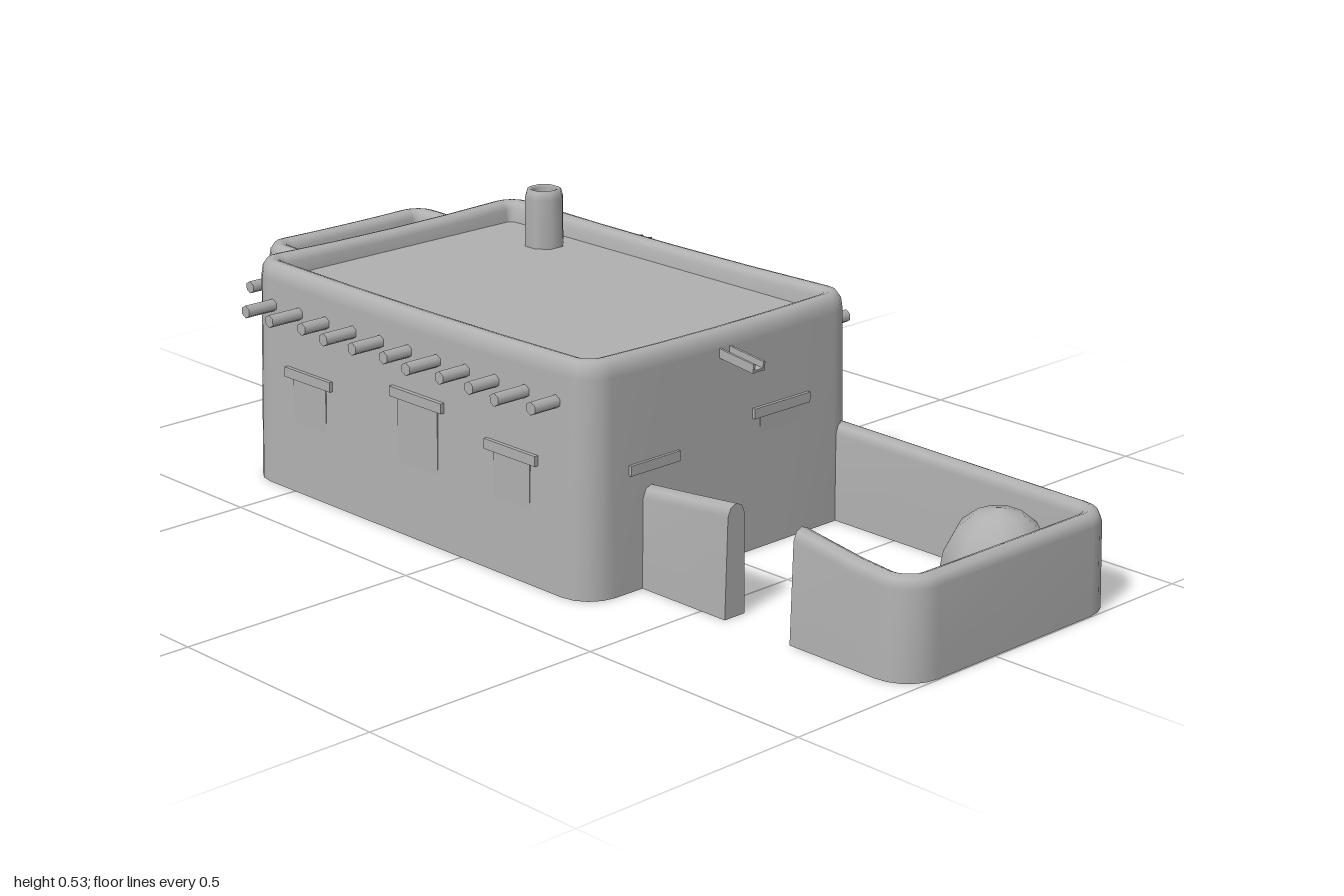
import * as THREE from 'three';

const clay = new THREE.MeshStandardMaterial({ color: 0xb0b0b0, side: THREE.DoubleSide });
clay.name = 'clay grey';

function add(parent, name, geometry, x = 0, y = 0, z = 0) {
  const m = new THREE.Mesh(geometry, clay);
  m.name = name;
  m.position.set(x, y, z);
  parent.add(m);
  return m;
}

// Smooth skin over rows of points; rows run upwards, points run around or along
function loft(rows, closed, capEnds) {
  const n = rows[0].length, pos = rows.flat(2), idx = [];
  for (let i = 0; i < rows.length - 1; i++) {
    for (let j = 0; j < (closed ? n : n - 1); j++) {
      const a = i * n + j, b = i * n + (j + 1) % n, c = a + n, d = b + n;
      idx.push(a, c, b, b, c, d);
    }
  }
  if (capEnds) {
    for (const j of [0, n - 1]) {
      const s = pos.length / 3;
      rows.forEach(r => pos.push(...r[j]));
      for (let k = 1; k < rows.length - 1; k++) {
        if (j === 0) idx.push(s, s + k + 1, s + k);
        else idx.push(s, s + k, s + k + 1);
      }
    }
  }
  const g = new THREE.BufferGeometry();
  g.setAttribute('position', new THREE.Float32BufferAttribute(pos, 3));
  g.setIndex(idx);
  g.computeVertexNormals();
  return g;
}

// Rounded rectangle in plan as [x, z], with extra points along the straight sides
function plan(x0, x1, z0, z1, r, inset) {
  const rad = Math.max(r - inset, 0.012), k = inset + rad;
  const corners = [[x1 - k, z1 - k], [x0 + k, z1 - k], [x0 + k, z0 + k], [x1 - k, z0 + k]];
  const out = [];
  corners.forEach(([cx, cz], q) => {
    for (let s = 0; s <= 4; s++) {
      const a = (q + s / 4) * Math.PI / 2;
      out.push([cx + rad * Math.cos(a), cz + rad * Math.sin(a)]);
    }
    const [px, pz] = out[out.length - 1], [nx, nz] = corners[(q + 1) % 4];
    const a = (q + 1) * Math.PI / 2;
    const ex = nx + rad * Math.cos(a), ez = nz + rad * Math.sin(a);
    for (let s = 1; s < 4; s++) out.push([px + (ex - px) * s / 4, pz + (ez - pz) * s / 4]);
  });
  return out;
}

// Battered block with a soft, slightly sagging parapet and a sunken roof
function block(parent, name, x0, x1, z0, z1, h, dip) {
  const g = new THREE.Group();
  g.name = name;
  const profile = [[0, 0], [0.01, h - 0.035], [0.013, h - 0.016], [0.022, h - 0.003], [0.033, h],
    [0.046, h - 0.004], [0.055, h - 0.016], [0.058, h - 0.05]];
  const cx = (x0 + x1) / 2, cz = (z0 + z1) / 2;
  const rows = profile.map(([inset, y]) => plan(x0, x1, z0, z1, 0.07, inset).map(([x, z]) => {
    const u = (x - cx) / (x1 - x0) * 2, v = (z - cz) / (z1 - z0) * 2;
    const sag = y > h / 2 ? dip * (1 - u * u * v * v) : 0;
    return [x, y - sag, z];
  }));
  add(g, 'walls', loft(rows, true));
  const roof = new THREE.PlaneGeometry(x1 - x0 - 0.112, z1 - z0 - 0.112).rotateX(-Math.PI / 2);
  add(g, 'roof', roof, cx, h - 0.045, cz);
  parent.add(g);
}

// Low yard wall with a rounded top, along points [x, z, height]
function yardWall(parent, path) {
  const section = [[0.026, 0, 0], [0.021, 1, -0.022], [0.014, 1, -0.006], [0, 1, 0],
    [-0.014, 1, -0.006], [-0.021, 1, -0.022], [-0.024, 0, 0]];
  const rows = section.map(([off, f, dy]) => path.map(([x, z, h], j) => {
    const p = path[Math.max(j - 1, 0)], q = path[Math.min(j + 1, path.length - 1)];
    const dx = q[0] - p[0], dz = q[1] - p[1], l = Math.hypot(dx, dz);
    return [x + dz / l * off, f * h + dy, z - dx / l * off];
  }));
  add(parent, 'yardWall', loft(rows, false, true));
}

// Opening with its lintel; plate is centred on the wall line, turned to face the given angle
function opening(parent, name, x, z, turn, top, width, height, lintelWidth) {
  const g = new THREE.Group();
  g.name = name;
  add(g, 'panel', new THREE.BoxGeometry(width, height, 0.009), 0, top - height / 2, -0.003);
  add(g, 'lintel', new THREE.BoxGeometry(lintelWidth, 0.02, 0.03), 0, top + 0.01, -0.008);
  g.position.set(x, 0, z);
  g.rotation.y = turn;
  parent.add(g);
}

// U-shaped roof spout that tips downwards as it leaves the wall
function spout(parent, x, y, z, turn) {
  const g = new THREE.Group();
  g.name = 'roofSpout';
  const tilt = new THREE.Group();
  tilt.rotation.x = 0.12;
  add(tilt, 'spoutFloor', new THREE.BoxGeometry(0.03, 0.005, 0.11), 0, -0.006, 0.025);
  for (const s of [-1, 1]) add(tilt, 'spoutSide', new THREE.BoxGeometry(0.005, 0.018, 0.11), s * 0.013, 0, 0.025);
  g.add(tilt);
  g.position.set(x, y, z);
  g.rotation.y = turn;
  parent.add(g);
}

export function createModel() {
  const model = new THREE.Group();
  model.name = 'adobeHouse';

  block(model, 'mainHouse', -0.65, 0.348, -0.357, 0.364, 0.456, 0.008);
  block(model, 'sideRoom', -0.957, -0.61, -0.36, 0.108, 0.375, 0.004);

  // Projecting roof beams
  const beam = (x, y, z, length) =>
    add(model, 'roofBeam', new THREE.CylinderGeometry(0.013, 0.013, length, 6).rotateX(Math.PI / 2), x, y, z);
  for (let i = 0; i < 11; i++) {
    const x = -0.565 + i * 0.082;
    beam(x, 0.369, 0.36, 0.125 + 0.016 * Math.sin(i * 2.3));
    beam(x, 0.369, -0.355, 0.135 + 0.022 * Math.sin(i * 2.9 + 1));
  }
  for (let i = 0; i < 4; i++) beam(-0.875 + i * 0.073, 0.302, 0.115, 0.12 - 0.008 * (i % 2));

  // Roof spouts
  spout(model, 0.345, 0.405, 0.006, Math.PI / 2);
  spout(model, -0.325, 0.408, -0.355, Math.PI);
  spout(model, -0.945, 0.335, -0.245, -Math.PI / 2);

  // Doors and windows
  const R = Math.PI / 2;
  opening(model, 'frontDoor', -0.125, 0.359, 0, 0.272, 0.115, 0.272, 0.15);
  opening(model, 'sideDoor', 0.341, -0.14, R, 0.26, 0.11, 0.26, 0.15);
  opening(model, 'frontWindow', -0.45, 0.359, 0, 0.235, 0.1, 0.09, 0.14);
  opening(model, 'frontWindow', 0.14, 0.359, 0, 0.235, 0.1, 0.09, 0.14);
  opening(model, 'sideWindow', 0.341, 0.193, R, 0.225, 0.08, 0.09, 0.125);
  opening(model, 'backWindow', -0.02, -0.352, Math.PI, 0.225, 0.1, 0.09, 0.14);
  opening(model, 'backWindow', -0.5, -0.352, Math.PI, 0.225, 0.08, 0.09, 0.12);
  opening(model, 'roomFrontWindow', -0.77, 0.102, 0, 0.212, 0.09, 0.08, 0.125);
  opening(model, 'roomSideWindow', -0.951, -0.13, -R, 0.22, 0.08, 0.08, 0.125);

  // Hollow chimney
  const flue = [[0.042, 0.39], [0.041, 0.512], [0.037, 0.526], [0.031, 0.53], [0.025, 0.525], [0.023, 0.41], [0, 0.41]];
  add(model, 'chimney', new THREE.LatheGeometry(flue.map(p => new THREE.Vector2(...p)), 8, Math.PI / 8), -0.415, 0, -0.23);

  // Yard wall with a gap for the gate
  const path = [[0.33, -0.317, 0.196], [0.6, -0.317, 0.193]];
  const bend = (cx, cz, start, h) => {
    for (let s = 0; s <= 5; s++) {
      const a = start + s / 5 * Math.PI / 2;
      path.push([cx + 0.05 * Math.cos(a), cz + 0.05 * Math.sin(a), h]);
    }
  };
  bend(0.922, -0.267, -Math.PI / 2, 0.19);
  path.push([0.972, -0.05, 0.191]);
  bend(0.922, 0.15, 0, 0.192);
  path.push([0.85, 0.2, 0.198], [0.72, 0.2, 0.217]);
  yardWall(model, path);
  yardWall(model, [[0.56, 0.2, 0.217], [0.45, 0.2, 0.206], [0.33, 0.2, 0.195]]);

  // Domed oven in the yard corner
  const dome = [[0.108, 0], [0.108, 0.06], [0.1, 0.105], [0.078, 0.148], [0.045, 0.175], [0, 0.186]];
  add(model, 'oven', new THREE.LatheGeometry(dome.map(p => new THREE.Vector2(...p)), 9), 0.842, 0, -0.188);

  return model;
}
